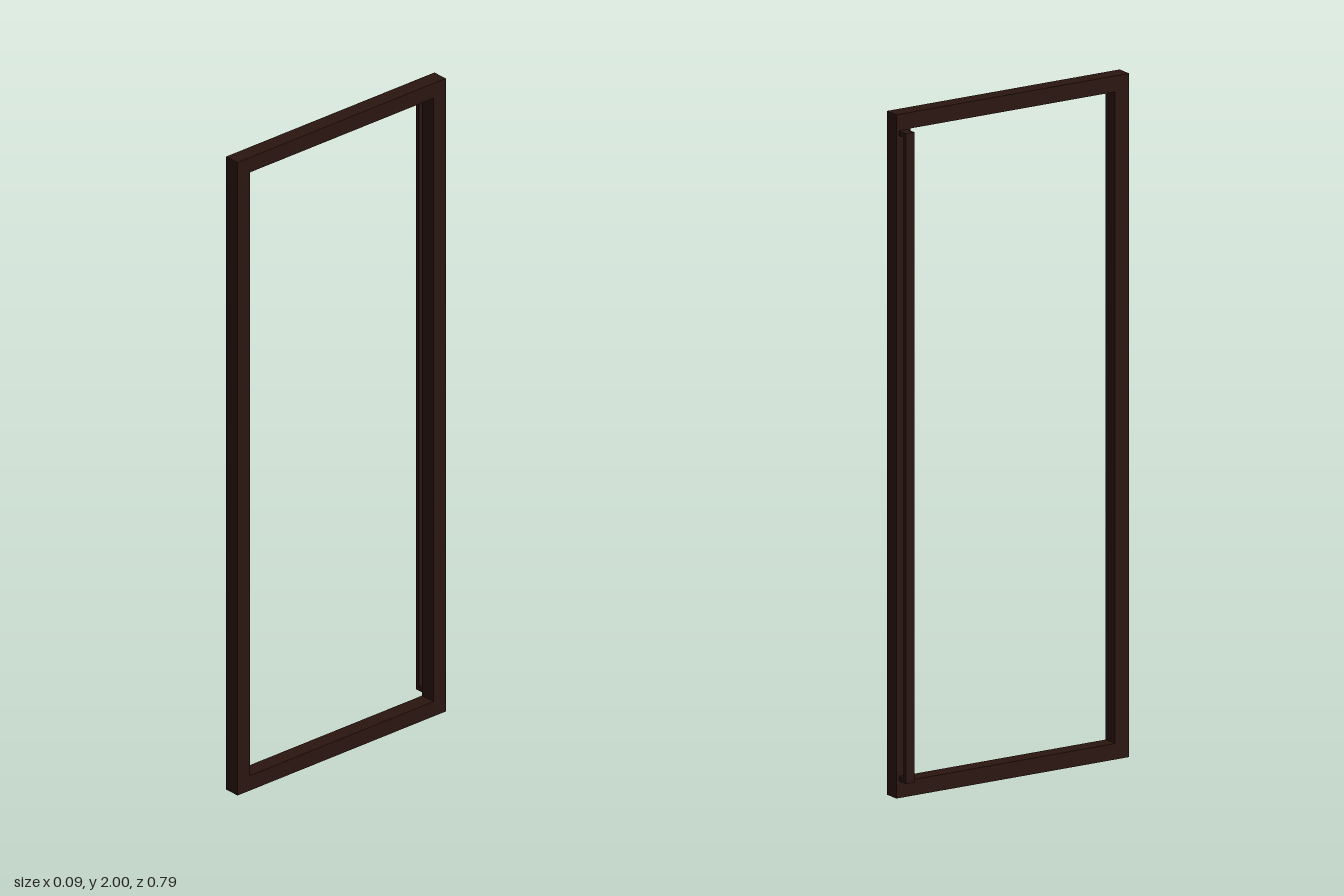
import * as THREE from 'three';

const HALF_DEPTH = 0.393;  // half the frame's extent along z
const HEIGHT = 2;
const BAR = 0.047;         // face width of the frame bars
const FRAME_X = [-0.006, 0.043];

const polygon = (Type, points) => new Type(points.map(([x, y]) => new THREE.Vector2(x, y)));
const rectangle = (Type, x0, y0, x1, y1) => polygon(Type, [[x0, y0], [x1, y0], [x1, y1], [x0, y1]]);

export function createModel() {
  const group = new THREE.Group();
  group.name = 'framedDoor';
  const wood = new THREE.MeshStandardMaterial({ color: 0x2a1510 });

  // Rectangular frame, drawn in the z-y plane and extruded along x
  const outline = rectangle(THREE.Shape, -HALF_DEPTH, 0, HALF_DEPTH, HEIGHT);
  outline.holes.push(rectangle(THREE.Path, -HALF_DEPTH + BAR, BAR, HALF_DEPTH - BAR, HEIGHT - BAR));
  const frameGeometry = new THREE.ExtrudeGeometry(outline, {
    depth: FRAME_X[1] - FRAME_X[0], bevelEnabled: false,
  });
  frameGeometry.rotateY(-Math.PI / 2).translate(FRAME_X[1], 0, 0);
  const frame = new THREE.Mesh(frameGeometry, wood);
  frame.name = 'frame';
  group.add(frame);

  // Full-height pull handle: a flat U-shaped strap on the rear upright
  const [x0, x1, y0, y1, t] = [-0.043, FRAME_X[0], 0.05, 1.952, 0.014];
  const strap = polygon(THREE.Shape, [
    [x0, y0], [x1, y0], [x1, y0 + t], [x0 + t, y0 + t],
    [x0 + t, y1 - t], [x1, y1 - t], [x1, y1], [x0, y1],
  ]);
  const handleGeometry = new THREE.ExtrudeGeometry(strap, { depth: 0.029, bevelEnabled: false });
  handleGeometry.translate(0, 0, -0.385);
  const handle = new THREE.Mesh(handleGeometry, wood);
  handle.name = 'pullHandle';
  group.add(handle);

  return group;
}
